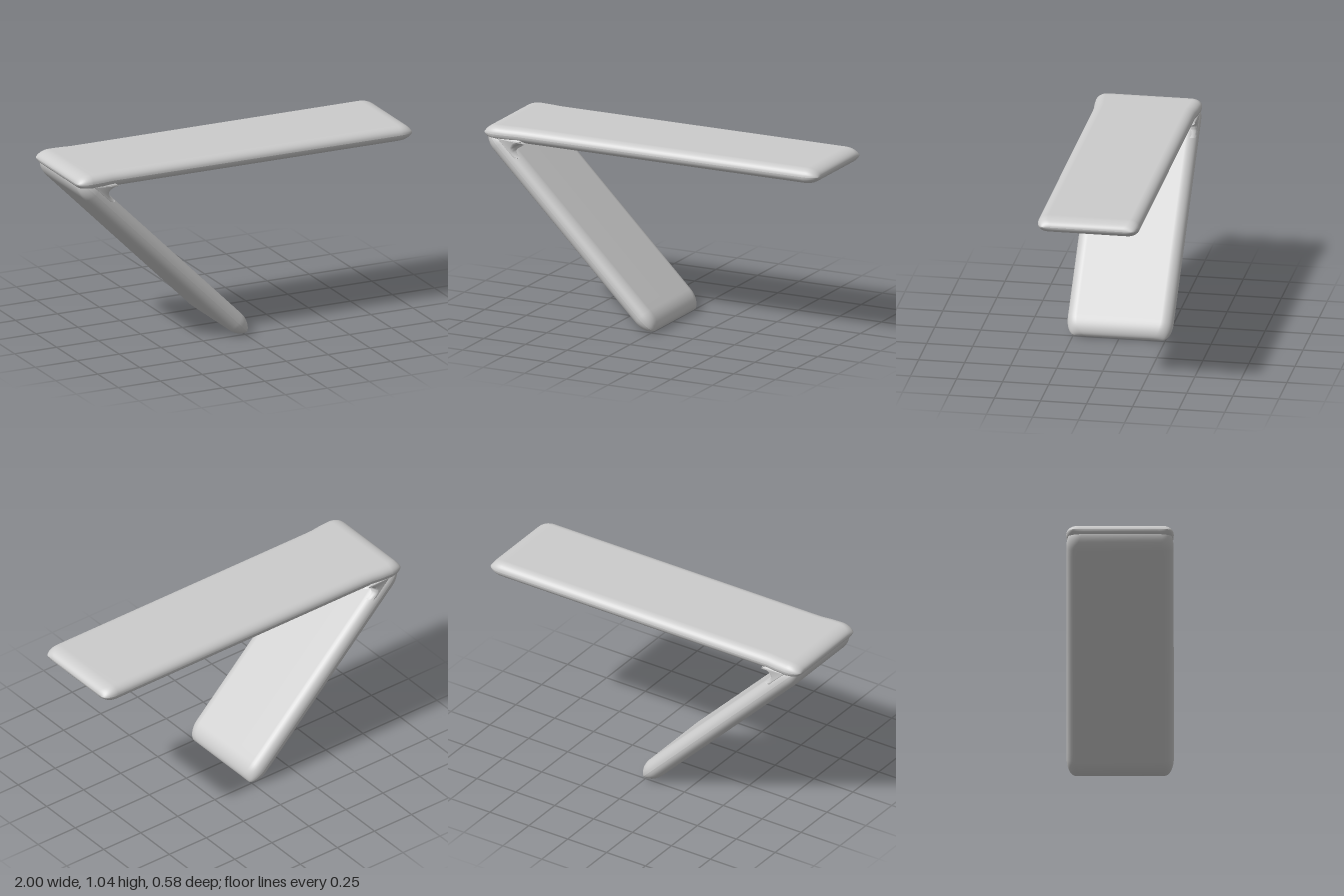
import * as THREE from 'three';
import { toCreasedNormals } from 'three/addons/utils/BufferGeometryUtils.js';

// Pill-edged slab lofted along +x from 0 to length, with rounded ends
function slabGeometry({ length, thick, endRadius, corner, edge, width }) {
  const endSteps = 10, midSteps = 30, arcSteps = 8;
  const stations = [];
  for (let i = 0; i <= endSteps; i++) {
    const a = (i / endSteps) * Math.PI / 2;
    stations.push([endRadius * (1 - Math.cos(a)), Math.sin(a)]);
  }
  const far = stations.map(([d, e]) => [length - d, e]).reverse();
  for (let i = 1; i < midSteps; i++) {
    stations.push([endRadius + (length - 2 * endRadius) * i / midSteps, 1]);
  }
  stations.push(...far);

  const positions = [], index = [], ring = 4 * (arcSteps + 1);
  stations.forEach(([x, e]) => {
    const half = width(x) - corner * (1 - e);
    for (let q = 0; q < 4; q++) {
      const side = q === 0 || q === 3 ? 1 : -1;
      for (let i = 0; i <= arcSteps; i++) {
        const a = (q + i / arcSteps) * Math.PI / 2;
        positions.push(x, thick * e * Math.sin(a), side * (half - edge) + edge * Math.cos(a));
      }
    }
  });
  for (let s = 0; s < stations.length - 1; s++) {
    for (let i = 0; i < ring; i++) {
      const a = s * ring + i, b = s * ring + (i + 1) % ring;
      index.push(a, a + ring, b, b, a + ring, b + ring);
    }
  }
  const geometry = new THREE.BufferGeometry();
  geometry.setAttribute('position', new THREE.Float32BufferAttribute(positions, 3));
  geometry.setIndex(index);
  geometry.computeVertexNormals();
  return geometry;
}

export function createModel() {
  const group = new THREE.Group();
  const grey = new THREE.MeshStandardMaterial({ color: 0xcccccc });
  grey.name = 'light grey';

  const add = (name, geometry) => {
    const mesh = new THREE.Mesh(geometry, grey);
    mesh.name = name;
    group.add(mesh);
    return mesh;
  };

  // Horizontal arm, slightly wider where it meets the leg
  const arm = add('horizontalArm', slabGeometry({
    length: 2, thick: 0.0425, endRadius: 0.08, corner: 0.04, edge: 0.055,
    width: x => 0.276 + 0.012 * (1 - THREE.MathUtils.smoothstep(x, 0.1, 0.22)),
  }));
  arm.position.set(-1, 1.0025, 0);

  // Leg slanting down from the left end of the arm
  const top = new THREE.Vector2(-0.977, 1.01), foot = new THREE.Vector2(0.014, 0.019);
  const leg = add('slantedLeg', slabGeometry({
    length: top.distanceTo(foot), thick: 0.055, endRadius: 0.1, corner: 0.05, edge: 0.06,
    width: () => 0.287,
  }));
  leg.position.set(top.x, top.y, 0);
  leg.rotation.z = Math.atan2(foot.y - top.y, foot.x - top.x);

  // Web that softens the inner corner of the joint
  const web = new THREE.Shape();
  web.moveTo(-0.75, 0.962);
  web.lineTo(-0.78, 0.99);
  web.lineTo(-0.93, 0.99);
  web.lineTo(-0.82, 0.87);
  web.lineTo(-0.775, 0.882);
  web.quadraticCurveTo(-0.865, 0.95, -0.75, 0.962);
  const depth = 0.48, bevel = 0.04;
  const webGeometry = new THREE.ExtrudeGeometry(web, {
    depth, curveSegments: 14, bevelEnabled: true, bevelThickness: bevel,
    bevelSize: 0.02, bevelOffset: -0.02, bevelSegments: 5,
  });
  webGeometry.translate(0, 0, -depth / 2);
  add('jointWeb', toCreasedNormals(webGeometry, 0.7));

  return group;
}
